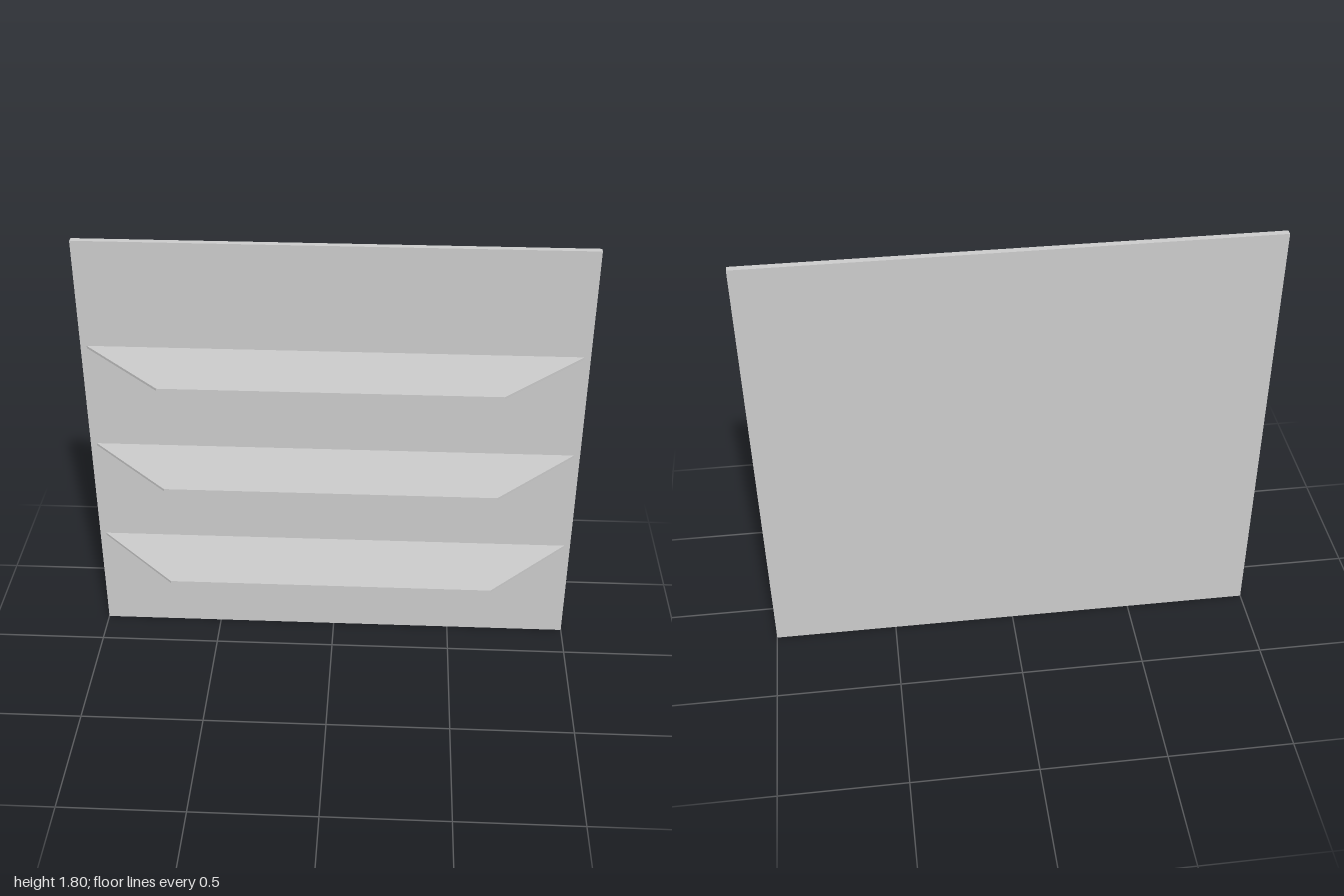
import * as THREE from 'three';

export function createModel() {
  const group = new THREE.Group();
  const material = new THREE.MeshStandardMaterial({ color: 0xcccccc, flatShading: true });
  const height = 1.805, back = -0.175, wall = -0.15, front = 0.175;

  // Upright back panel
  const panel = new THREE.Mesh(new THREE.BoxGeometry(2, height, wall - back), material);
  panel.name = 'backPanel';
  panel.position.set(0, height / 2, (back + wall) / 2);
  group.add(panel);

  // Thin trapezoid shelf, widest at the panel, with 45 degree ends
  const thickness = 0.01;
  const outline = new THREE.Shape([
    new THREE.Vector2(-0.65, -front),
    new THREE.Vector2(0.65, -front),
    new THREE.Vector2(0.975, -wall),
    new THREE.Vector2(-0.975, -wall),
  ]);
  const shelfGeometry = new THREE.ExtrudeGeometry(outline, { depth: thickness, bevelEnabled: false });
  shelfGeometry.rotateX(-Math.PI / 2).translate(0, -thickness / 2, 0);

  // Three shelves at the quarter heights
  for (let i = 1; i <= 3; i++) {
    const shelf = new THREE.Mesh(shelfGeometry, material);
    shelf.name = `shelf${i}`;
    shelf.position.y = (height * i) / 4;
    group.add(shelf);
  }
  return group;
}
